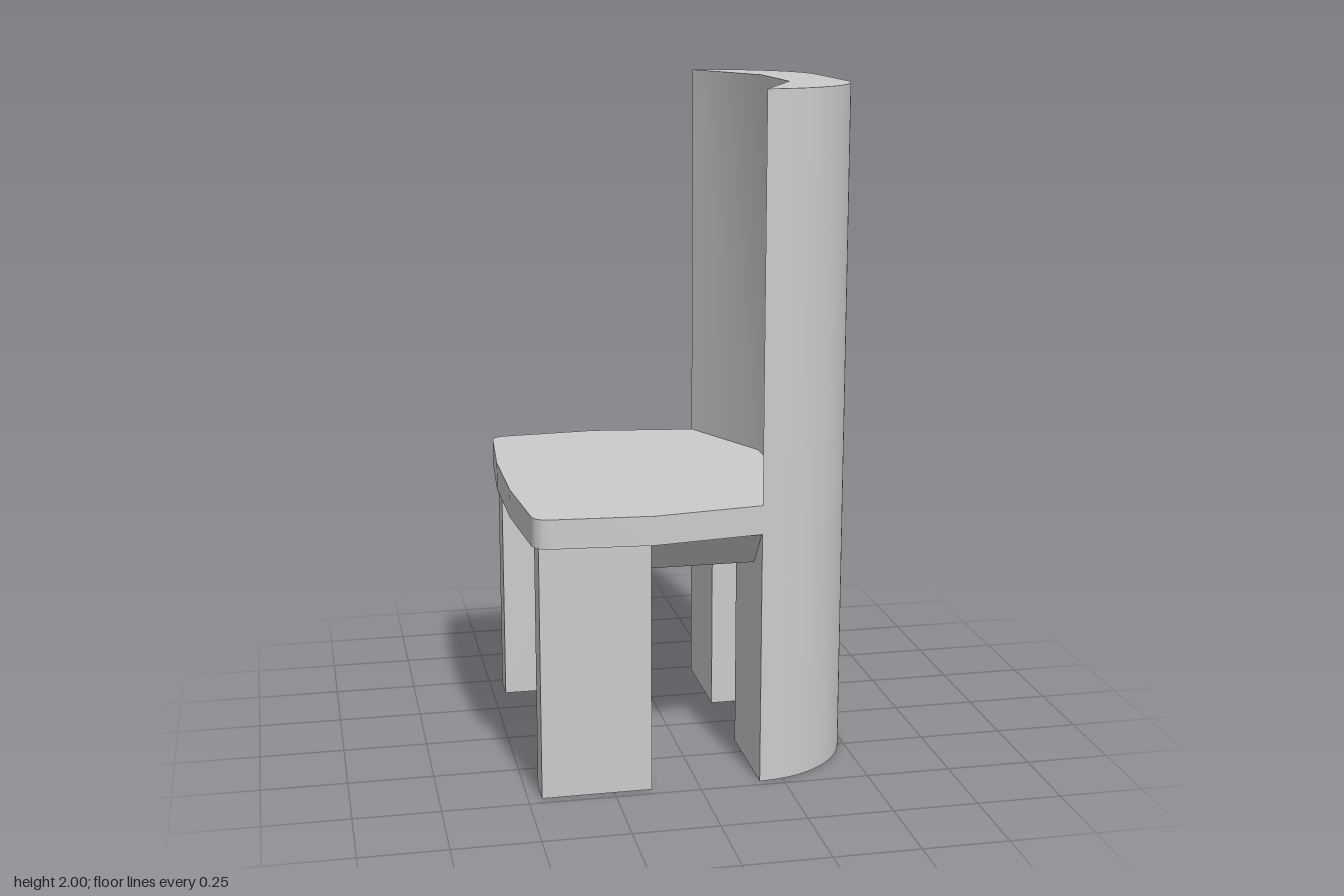
import * as THREE from 'three';
import { toCreasedNormals } from 'three/addons/utils/BufferGeometryUtils.js';
import { ConvexGeometry } from 'three/addons/geometries/ConvexGeometry.js';

const LEG_TOP = 0.75, SEAT_TOP = 0.835, APRON = 0.64;

export function createModel() {
  const group = new THREE.Group();
  group.name = 'chair';
  const material = new THREE.MeshStandardMaterial({ color: 0xcccccc });

  const add = (name, geometry) => {
    const mesh = new THREE.Mesh(geometry, material);
    mesh.name = name;
    group.add(mesh);
  };

  // Extrude a plan outline (x, -z) upward from y0 to y1
  const prism = (name, shape, y0, y1) => {
    const g = new THREE.ExtrudeGeometry(shape, { depth: y1 - y0, bevelEnabled: false, curveSegments: 20 });
    g.rotateX(-Math.PI / 2);
    g.translate(0, y0, 0);
    add(name, toCreasedNormals(g, 0.5));
  };

  // Backrest: rounded outside, three flat facets inside
  const back = new THREE.Shape();
  back.moveTo(0.18, -0.475);
  back.absellipse(0.18, -0.16, 0.315, 0.315, -Math.PI / 2, 0, false);
  back.lineTo(0.495, 0.16);
  back.absellipse(0.18, 0.16, 0.315, 0.315, 0, Math.PI / 2, false);
  back.lineTo(0.325, 0.16);
  back.lineTo(0.325, -0.16);
  back.closePath();
  prism('backrest', back, LEG_TOP, 2);

  // Seat: faceted sides, rounded front corners
  const seat = new THREE.Shape();
  seat.moveTo(0.325, -0.16);
  seat.lineTo(0.325, 0.16);
  seat.lineTo(0.18, 0.475);
  seat.lineTo(-0.14, 0.52);
  seat.lineTo(-0.43, 0.5);
  seat.quadraticCurveTo(-0.475, 0.497, -0.478, 0.45);
  seat.lineTo(-0.5, 0.16);
  seat.lineTo(-0.5, -0.16);
  seat.lineTo(-0.478, -0.45);
  seat.quadraticCurveTo(-0.475, -0.497, -0.43, -0.5);
  seat.lineTo(-0.14, -0.52);
  seat.lineTo(0.18, -0.475);
  seat.closePath();
  prism('seat', seat, LEG_TOP, SEAT_TOP);

  // Legs: quarter-round at the back, thin boards at the front
  for (const s of [1, -1]) {
    const side = s > 0 ? 'Left' : 'Right';
    const leg = new THREE.Shape();
    leg.moveTo(0.18, s * 0.16);
    leg.lineTo(0.495, s * 0.16);
    leg.absellipse(0.18, s * 0.16, 0.315, 0.315, 0, s * Math.PI / 2, s < 0);
    leg.closePath();
    prism('backLeg' + side, leg, 0, LEG_TOP);

    const board = new THREE.BoxGeometry(0.32, LEG_TOP, 0.09);
    board.translate(-0.3, LEG_TOP / 2, s * 0.425);
    add('frontLeg' + side, board);
  }

  // Apron block under the seat with sloping sides
  const points = [];
  for (const s of [1, -1]) {
    points.push(
      new THREE.Vector3(-0.46, LEG_TOP, s * 0.47), new THREE.Vector3(0.18, LEG_TOP, s * 0.47),
      new THREE.Vector3(-0.42, APRON, s * 0.38), new THREE.Vector3(0.18, APRON, s * 0.38));
  }
  add('apron', new ConvexGeometry(points));

  // Sloping underside between the back legs
  const wedge = [];
  for (const z of [0.16, -0.16]) {
    wedge.push(new THREE.Vector3(0.18, APRON, z), new THREE.Vector3(0.18, LEG_TOP, z),
      new THREE.Vector3(0.495, LEG_TOP, z));
  }
  add('backApron', new ConvexGeometry(wedge));

  return group;
}
